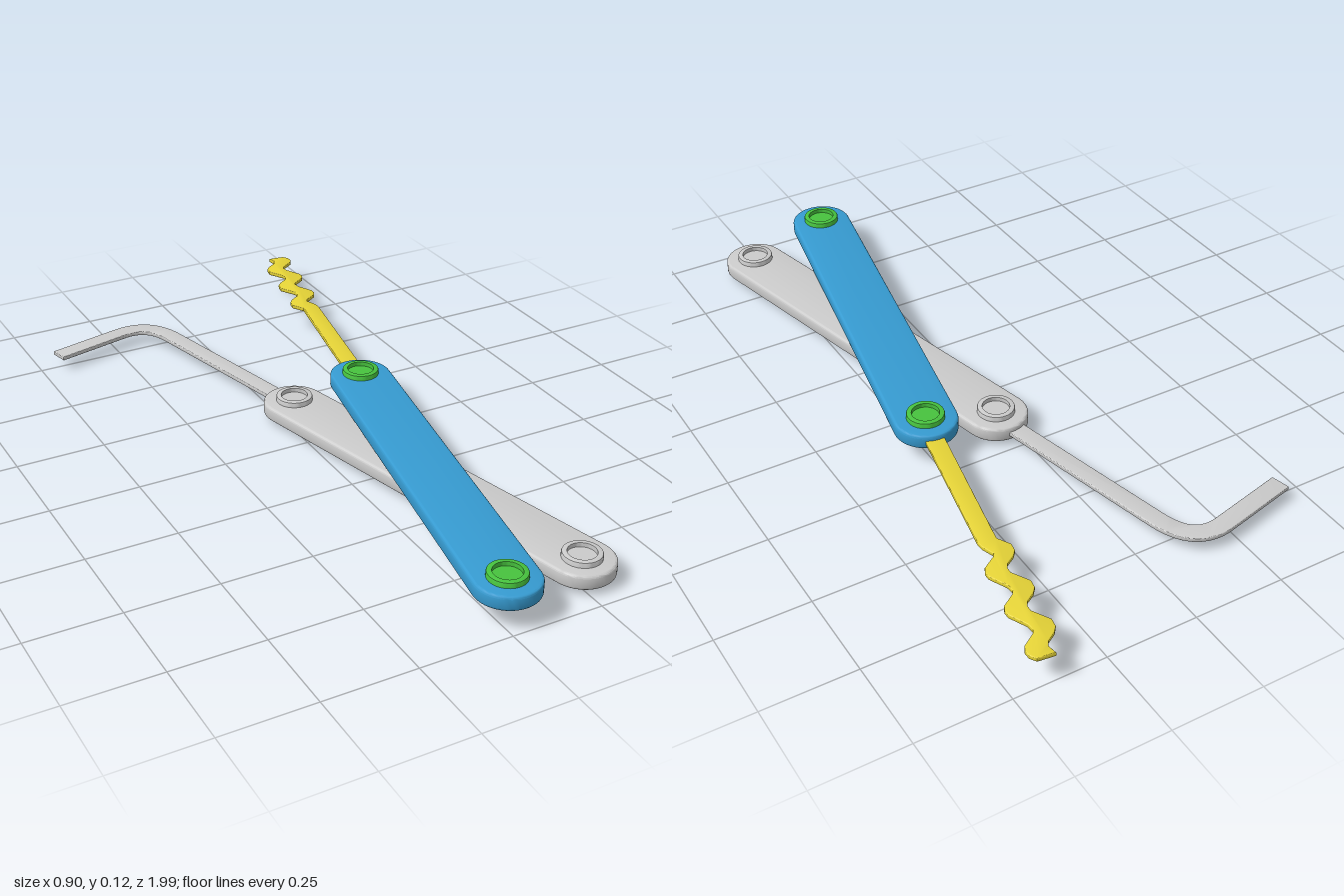
import * as THREE from 'three';
import { toCreasedNormals } from 'three/addons/utils/BufferGeometryUtils.js';

const mat = (color) => new THREE.MeshStandardMaterial({ color });
const GREY = mat(0xcccccc), BLUE = mat(0x369bd1), GREEN = mat(0x47c33e), YELLOW = mat(0xe6d437);

// Plan points are [x, z]; the outline is extruded upward from y0 to y1.
function plate(name, points, y0, y1, bevel, material) {
  const shape = new THREE.Shape(points.map(([x, z]) => new THREE.Vector2(x, -z)));
  let geo = new THREE.ExtrudeGeometry(shape, {
    depth: y1 - y0 - 2 * bevel, bevelEnabled: bevel > 0,
    bevelSize: bevel, bevelThickness: bevel, bevelOffset: -bevel, bevelSegments: 3,
  });
  geo.rotateX(-Math.PI / 2);
  geo.translate(0, y0 + bevel, 0);
  geo = toCreasedNormals(geo, 0.6);
  const mesh = new THREE.Mesh(geo, material);
  mesh.name = name;
  return mesh;
}

// Round-ended bar between two plan points.
function capsule(a, b, r) {
  const dir = Math.atan2(b[1] - a[1], b[0] - a[0]);
  const pts = [];
  [[a, dir + Math.PI / 2], [b, dir - Math.PI / 2]].forEach(([c, start]) => {
    for (let i = 0; i <= 24; i++) {
      const t = start + (Math.PI * i) / 24;
      pts.push([c[0] + r * Math.cos(t), c[1] + r * Math.sin(t)]);
    }
  });
  return pts;
}

// Rivet with a rounded rim and a shallow cup at both ends.
function rivet(name, [x, z], y0, y1, material) {
  const h = (y1 - y0) / 2, R = 0.051, r = 0.037, e = 0.004, cup = 0.012;
  const top = [[R, h - e], [R - 0.0012, h - 0.0012], [R - e, h], [r, h], [r, h - cup], [0, h - cup]];
  const bottom = top.map(([a, b]) => [a, -b]).reverse();
  const profile = [...bottom, ...top].map(([a, b]) => new THREE.Vector2(a, b));
  const geo = toCreasedNormals(new THREE.LatheGeometry(profile, 40).toNonIndexed(), 0.6);
  const mesh = new THREE.Mesh(geo, material);
  mesh.position.set(x, (y0 + y1) / 2, z);
  mesh.name = name;
  return mesh;
}

// Handle with a rivet at each end.
function handle(name, front, back, y0, y1, barMat, rivetMat) {
  const g = new THREE.Group();
  g.name = name;
  g.add(plate(name + 'Bar', capsule(front, back, 0.086), y0, y1, 0.007, barMat));
  g.add(rivet(name + 'FrontRivet', front, y0 - 0.016, y1 + 0.015, rivetMat));
  g.add(rivet(name + 'BackRivet', back, y0 - 0.016, y1 + 0.015, rivetMat));
  return g;
}

// Bent flat strip: offset both sides of a centre line.
function bentStrip() {
  const v = (x, z) => new THREE.Vector2(x, z);
  const path = new THREE.CurvePath();
  path.add(new THREE.LineCurve(v(0.035, -0.16), v(-0.093, -0.705)));
  path.add(new THREE.QuadraticBezierCurve(v(-0.093, -0.705), v(-0.122, -0.828), v(-0.228, -0.802)));
  path.add(new THREE.LineCurve(v(-0.228, -0.802), v(-0.444, -0.75)));
  const left = [], right = [];
  path.curves.forEach((curve) => {
    const n = curve.isLineCurve ? 1 : 16;
    for (let i = 0; i <= n; i++) {
      if (i === 0 && left.length) continue;
      const p = curve.getPoint(i / n), t = curve.getTangent(i / n), w = 0.026;
      left.push([p.x - t.y * w, p.y + t.x * w]);
      right.unshift([p.x + t.y * w, p.y - t.x * w]);
    }
  });
  return [...left, ...right];
}

// Tapered blade whose last part repeats a wavy outline three times.
function wavyBlade() {
  const step = [0.0255, -0.13];
  const shift = ([x, z], k) => [x + step[0] * k, z + step[1] * k];
  const leftWave = [[0.29, -0.645], [0.294, -0.668], [0.306, -0.682], [0.332, -0.698], [0.341, -0.712], [0.342, -0.728]];
  const rightWave = [[0.344, -0.652], [0.351, -0.662], [0.387, -0.685], [0.394, -0.698], [0.394, -0.715], [0.371, -0.762]];
  const left = [[0.212, -0.13], [0.31, -0.61]];
  const right = [[0.265, -0.13], [0.357, -0.6], [0.356, -0.618]];
  for (let k = 0; k < 3; k++) {
    const last = k === 2;
    left.push(...leftWave.slice(0, last ? 5 : 6).map((p) => shift(p, k)));
    right.push(...rightWave.slice(0, last ? 5 : 6).map((p) => shift(p, k)));
  }
  left.push([0.388, -0.998]);
  right.push([0.434, -0.992]);
  return [...left, ...right.reverse()];
}

export function createModel() {
  const model = new THREE.Group();
  model.name = 'crossedPickTools';

  // Lower tool: grey handle with a bent tension strip
  const lower = new THREE.Group();
  lower.name = 'tensionTool';
  lower.add(handle('lowerHandle', [0.279, 0.875], [0.036, -0.147], 0.017, 0.057, GREY, GREY));
  lower.add(plate('tensionStrip', bentStrip(), 0.031, 0.043, 0.002, GREY));

  // Upper tool: blue handle with a wavy pick
  const upper = new THREE.Group();
  upper.name = 'pickTool';
  upper.add(handle('upperHandle', [0.037, 0.911], [0.238, -0.127], 0.061, 0.101, BLUE, GREEN));
  upper.add(plate('wavyPick', wavyBlade(), 0.075, 0.087, 0.002, YELLOW));

  model.add(lower, upper);
  return model;
}
